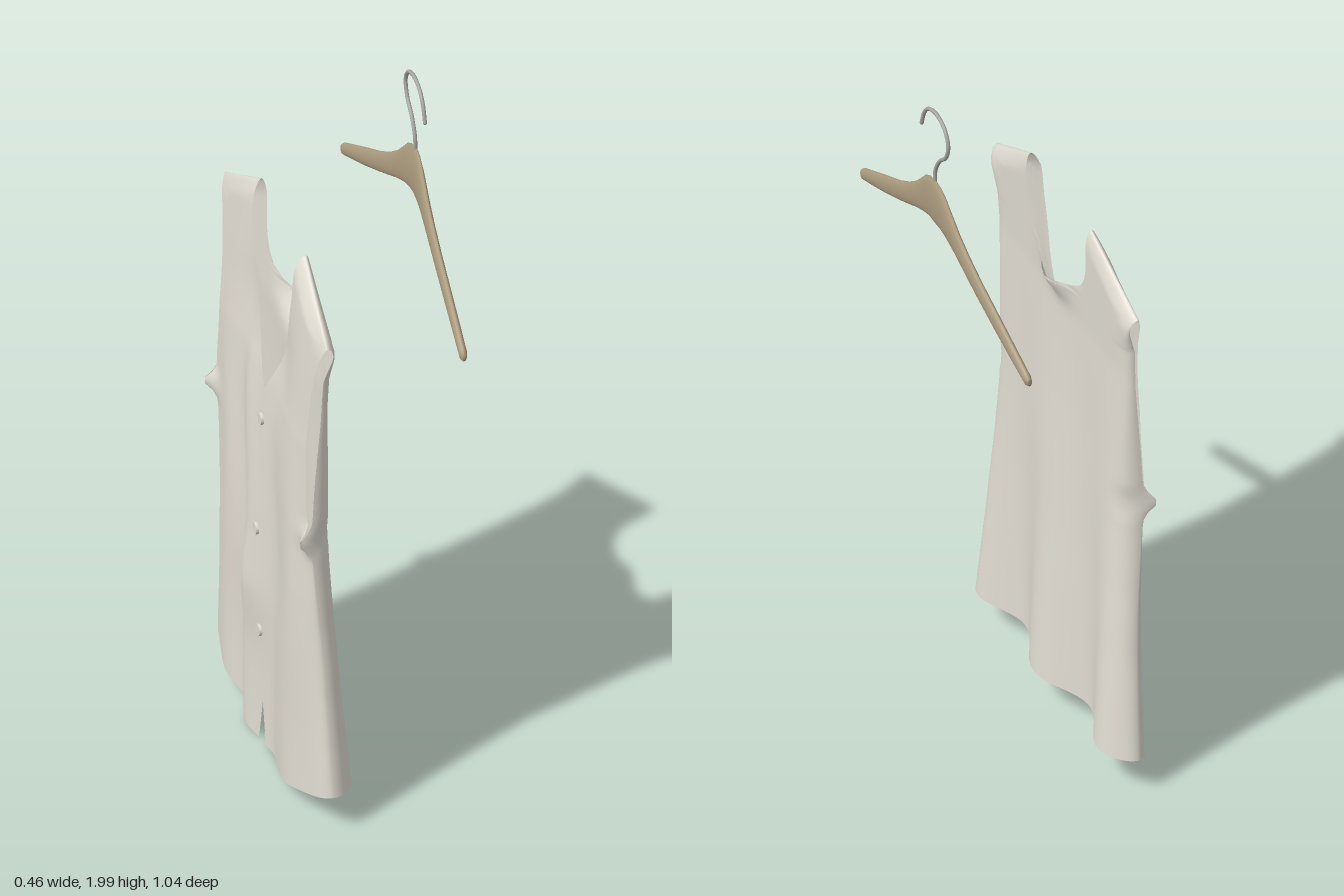
import * as THREE from 'three';
import { mergeGeometries, mergeVertices } from 'three/addons/utils/BufferGeometryUtils.js';

// Piecewise-linear lookup in [key, value] pairs
function curve(pts, k) {
  if (k <= pts[0][0]) return pts[0][1];
  for (let i = 1; i < pts.length; i++) {
    const [a, va] = pts[i - 1], [b, vb] = pts[i];
    if (k <= b) return va + (vb - va) * (k - a) / (b - a);
  }
  return pts[pts.length - 1][1];
}
const clamp = (v) => Math.min(1, Math.max(0, v));
const bell = (v, w) => Math.exp(-(v * v) / (w * w));

const HEM = 0.11, ARMPIT = 0.88, TOP = 1.635;

// Outline curves, keyed by height
const sideEdge = [[HEM, 0.464], [0.25, 0.448], [0.4, 0.432], [0.6, 0.416], [0.8, 0.406], [1.1, 0.405],
  [1.3, 0.409], [1.4, 0.416], [1.46, 0.43], [1.5, 0.44], [TOP, 0.19]];
const backNeck = [[1.38, 0], [1.383, 0.03], [1.392, 0.07], [1.41, 0.115], [1.43, 0.145], [1.46, 0.168],
  [1.5, 0.18], [1.56, 0.185], [TOP, 0.19]];
const frontNeck = [[1.1, 0], [1.15, 0.03], [1.25, 0.085], [1.35, 0.13], [1.42, 0.16], [1.5, 0.183], [TOP, 0.19]];

// Depth curves, keyed by height
const backDepth = [[HEM, -0.1], [0.35, -0.108], [0.6, -0.116], [0.8, -0.121], [1, -0.127], [1.3, -0.132], [1.5, -0.125], [TOP, -0.12]];
const frontDepth = [[HEM, -0.193], [0.3, -0.194], [0.5, -0.197], [0.9, -0.195], [1.15, -0.192], [1.4, -0.176], [TOP, -0.157]];
const seamDepth = [[HEM, -0.145], [0.5, -0.16], [ARMPIT, -0.19], [1.05, -0.181], [1.25, -0.165], [1.5, -0.155]];

// Folds of the front: [z, width, depth]
const frontFolds = [[0.28, 0.1, 0.022], [0.08, 0.06, -0.012], [-0.08, 0.06, 0.02], [-0.17, 0.05, -0.012], [-0.27, 0.07, 0.014]];

// Point on the cloth: t runs from the centre edge (0) to the side edge (1)
function clothPoint(front, side, t, y) {
  let zi, zo = curve(sideEdge, y);
  if (front) {
    zi = curve(frontNeck, y);
    if (y < 1.1) zi = 0.024 * clamp((0.3 - y) / 0.2) - 0.01 * clamp((1.1 - y) / 0.1) * clamp((y - HEM) / 0.2);
    if (y > ARMPIT && y < 1.5) zo -= 0.035 * Math.sin(Math.PI * (y - ARMPIT) / (1.5 - ARMPIT));
  } else zi = curve(backNeck, y);
  zo += 0.008 * bell(y - ARMPIT, 0.02);
  const z = side * (zi + (zo - zi) * t);

  // Hanging folds that deepen towards the hem
  let x;
  if (front) {
    x = curve(frontDepth, y) - 0.012 * bell(y - 0.5, 0.1) * bell(z + 0.06, 0.09);
    const depth = 0.4 + 0.6 * clamp((1.2 - y) / 0.5);
    for (const [fz, w, d] of frontFolds) x -= d * depth * bell(z - fz + 0.02 * Math.sin(y * 7), w);
    // Neckline sags inward
    x += 0.022 * bell(y - 1.28, 0.17) * bell(Math.abs(z) - 0.1, 0.11);
    if (side > 0) x -= 0.006 * (1 - t);
  } else {
    const fall = clamp((1.25 - y) / 1.14);
    x = curve(backDepth, y) + 0.033 * Math.pow(fall, 1.3) * Math.cos((z - 0.015) * 2 * Math.PI / 0.4);
    x += 0.04 * bell(y - 1.38, 0.05) * bell(z, 0.07);
  }

  // Roll over the shoulder ridge
  const out = Math.max(0, Math.abs(z) - 0.19);
  const ridge = -0.137 - 0.08 * out;
  x = ridge + (x - ridge) * Math.sqrt(clamp((TOP - out * 0.54 - y) / 0.05));

  // Curl to the side seam, with the back edge curling forward along the armhole too
  const join = front ? clamp((0.96 - y) / (0.96 - ARMPIT)) : clamp((1.5 - y) / 0.12);
  const seam = curve(seamDepth, y);
  const sharp = 9 + 7 * clamp((y - 0.8) / 0.3);
  x = seam + (x - seam) * (1 - join * (1 - Math.sqrt(1 - Math.pow(t, sharp))));
  x -= 0.035 * bell(y - ARMPIT, 0.03) * Math.pow(t, 14);

  // Front hem dips to points at the middle
  if (front) y -= 0.105 * (1 - Math.pow(t, 1.4)) * clamp(1 - (y - HEM) / 0.5);
  return [x, y, z];
}

function clothPanel(front, side) {
  const rows = [1.383, 1.387, 1.392];
  for (let i = 0; i <= 76; i++) rows.push(HEM + 0.02 * i);
  rows.push(1.38, 1.5, 1.6, 1.615, 1.624, TOP);
  rows.sort((a, b) => a - b);
  const list = rows.filter((y, i) => i === 0 || y - rows[i - 1] > 0.0005);
  const cols = 32, pos = [], index = [];
  for (const y of list) {
    for (let c = 0; c <= cols; c++) pos.push(...clothPoint(front, side, Math.min(1, Math.sin(c / cols * Math.PI / 2)), y));
  }
  const flip = (side > 0) === front;
  for (let r = 0; r < list.length - 1; r++) {
    for (let c = 0; c < cols; c++) {
      const a = r * (cols + 1) + c, b = a + 1, d = a + cols + 1, e = d + 1;
      if (flip) index.push(a, b, e, a, e, d);
      else index.push(a, e, b, a, d, e);
    }
  }
  const g = new THREE.BufferGeometry();
  g.setAttribute('position', new THREE.Float32BufferAttribute(pos, 3));
  g.setIndex(index);
  return g;
}

// Hanger body lofted from oval cross-sections: [z, top, bottom]
function hangerBody() {
  const half = [[0, 1.78, 1.637], [0.03, 1.774, 1.636], [0.06, 1.756, 1.63], [0.09, 1.727, 1.62], [0.13, 1.69, 1.604],
    [0.18, 1.654, 1.58], [0.25, 1.612, 1.548], [0.35, 1.562, 1.504], [0.45, 1.51, 1.464], [0.51, 1.478, 1.441], [0.522, 1.468, 1.445]];
  const sections = [...half.slice(1).reverse().map(([z, a, b]) => [-z, a, b]), ...half];
  const n = 16, pos = [], index = [];
  for (const [z, top, bottom] of sections) {
    const cx = 0.223 - 0.031 * Math.pow(Math.abs(z) / 0.52, 1.1);
    const rx = Math.abs(z) > 0.515 ? 0.007 : 0.0108;
    for (let i = 0; i < n; i++) {
      const a = i / n * Math.PI * 2;
      const y = (top + bottom) / 2 + Math.sin(a) * (top - bottom) / 2;
      pos.push(cx + Math.cos(a) * rx + (y - (top + bottom) / 2) * 0.03, y, z);
    }
  }
  for (let s = 0; s < sections.length - 1; s++) {
    for (let i = 0; i < n; i++) {
      const a = s * n + i, b = s * n + (i + 1) % n;
      index.push(a, b, b + n, a, b + n, a + n);
    }
  }
  const last = (sections.length - 1) * n;
  for (let i = 1; i < n - 1; i++) index.push(0, i + 1, i, last, last + i, last + i + 1);
  const g = new THREE.BufferGeometry();
  g.setAttribute('position', new THREE.Float32BufferAttribute(pos, 3));
  g.setIndex(index);
  g.computeVertexNormals();
  return g;
}

export function createModel() {
  const model = new THREE.Group();
  const cloth = new THREE.MeshStandardMaterial({ color: 0xe0dcd2, side: THREE.DoubleSide });
  cloth.name = 'cloth';
  const wood = new THREE.MeshStandardMaterial({ color: 0xae9e80 });
  wood.name = 'wood';
  const metal = new THREE.MeshStandardMaterial({ color: 0xa9a7a3 });
  metal.name = 'metal';
  const add = (name, geometry, material, parent) => {
    const mesh = new THREE.Mesh(geometry, material);
    mesh.name = name;
    parent.add(mesh);
    return mesh;
  };

  // Sleeveless blouse: two back halves and two front halves welded at the seams
  const blouse = new THREE.Group();
  blouse.name = 'blouse';
  const panels = [];
  for (const front of [true, false]) for (const side of [-1, 1]) panels.push(clothPanel(front, side));
  const shell = mergeVertices(mergeGeometries(panels), 1e-4);
  shell.computeVertexNormals();
  add('blouseCloth', shell, cloth, blouse);

  // Buttons down the front opening
  for (const y of [1.02, 0.68, 0.36]) {
    const [x] = clothPoint(true, 1, 0, y);
    const button = add('button', new THREE.CylinderGeometry(0.017, 0.017, 0.008, 20), cloth, blouse);
    button.rotation.z = Math.PI / 2;
    button.position.set(x - 0.003, y, 0.006);
  }
  model.add(blouse);

  // Hanger with its wire hook
  const hanger = new THREE.Group();
  hanger.name = 'hanger';
  add('hangerBody', hangerBody(), wood, hanger);
  const hookPath = new THREE.CatmullRomCurve3([[0, 1.765], [-0.003, 1.81], [-0.03, 1.857], [-0.07, 1.895], [-0.083, 1.94],
    [-0.06, 1.978], [-0.01, 1.994], [0.04, 1.98], [0.067, 1.95], [0.083, 1.908]].map(([z, y]) => new THREE.Vector3(0.224, y, z)));
  add('hook', new THREE.TubeGeometry(hookPath, 60, 0.0055, 10), metal, hanger);
  const tip = add('hookTip', new THREE.SphereGeometry(0.0055, 10, 8), metal, hanger);
  tip.position.set(0.224, 1.908, 0.083);
  model.add(hanger);
  return model;
}
